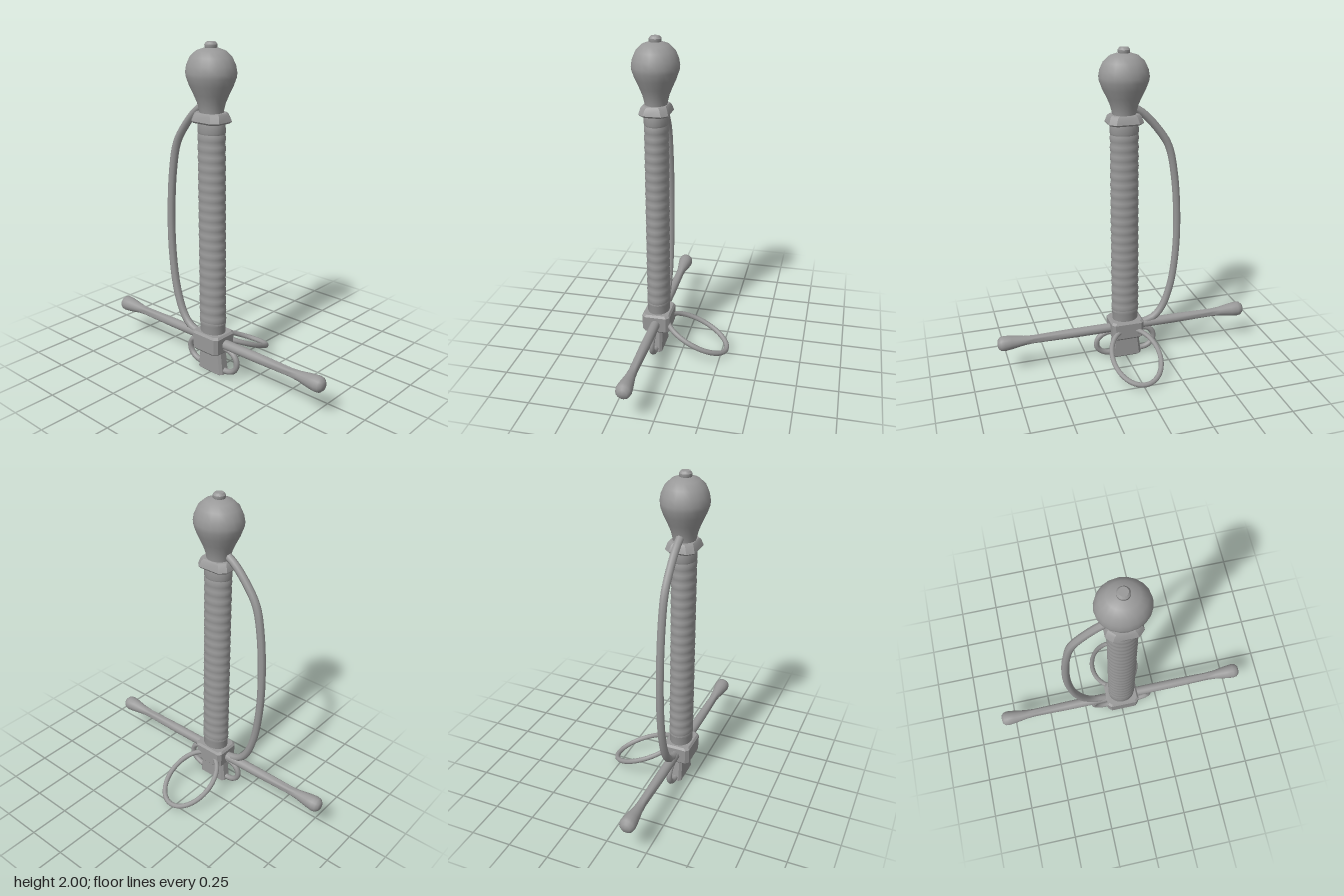
import * as THREE from 'three';
import { toCreasedNormals } from 'three/addons/utils/BufferGeometryUtils.js';

const steel = new THREE.MeshStandardMaterial({ color: 0x999999 });
steel.name = 'steel grey';

const V = (x, y, z = 0) => new THREE.Vector3(x, y, z);

function part(name, geometry, crease = 0.6) {
  const mesh = new THREE.Mesh(crease ? toCreasedNormals(geometry, crease) : geometry, steel);
  mesh.name = name;
  return mesh;
}

// Turned part with an oval section: depth is the z to x ratio
function turned(name, profile, depth = 1, segments = 24, crease = 0.6) {
  const geo = new THREE.LatheGeometry(profile.map(([r, y]) => new THREE.Vector2(r, y)), segments);
  geo.scale(1, 1, depth);
  return part(name, geo, crease);
}

// Block with chamfered corners, lofted through [y, halfWidth, halfDepth] sections
function loft(name, sections, chamfer) {
  const pos = [], index = [];
  for (const [y, w, d] of sections) {
    const c = Math.min(chamfer, d * 0.6);
    for (const [x, z] of [[w, d - c], [w, c - d], [w - c, -d], [c - w, -d],
      [-w, c - d], [-w, d - c], [c - w, d], [w - c, d]]) pos.push(x, y, z);
  }
  const last = (sections.length - 1) * 8;
  for (let s = 0; s < last; s += 8) {
    for (let i = 0; i < 8; i++) {
      const a = s + i, b = s + (i + 1) % 8;
      index.push(a, b, b + 8, a, b + 8, a + 8);
    }
  }
  for (let i = 1; i < 7; i++) index.push(0, i + 1, i, last, last + i, last + i + 1);
  const geo = new THREE.BufferGeometry();
  geo.setAttribute('position', new THREE.Float32BufferAttribute(pos, 3));
  geo.setIndex(index);
  return part(name, geo, 0.5);
}

// Closed oval ring from a function of the angle
function ring(name, at, radius) {
  const pts = Array.from({ length: 24 }, (_, i) => at(i / 24 * Math.PI * 2));
  return part(name, new THREE.TubeGeometry(new THREE.CatmullRomCurve3(pts, true), 48, radius, 8, true), 0);
}

export function createModel() {
  const model = new THREE.Group();
  model.name = 'swordHilt';
  const hilt = new THREE.Group();
  hilt.name = 'hilt';
  hilt.position.z = 0.157;
  model.add(hilt);

  // Blade stub and guard block
  hilt.add(loft('bladeStub', [[0, 0.085, 0.025], [0.012, 0.1, 0.038], [0.16, 0.083, 0.038]], 0.015));
  hilt.add(loft('guardBlock', [[0.152, 0.09, 0.076], [0.164, 0.101, 0.086],
    [0.262, 0.106, 0.088], [0.275, 0.095, 0.078]], 0.02));

  // Collars at both ends of the grip
  hilt.add(turned('lowerCollar', [[0.08, 0.27], [0.083, 0.28], [0.083, 0.325], [0.087, 0.335],
    [0.084, 0.35]], 0.84));
  hilt.add(turned('upperCollar', [[0.084, 1.495], [0.088, 1.505], [0.086, 1.555], [0.082, 1.575]], 0.82));

  // Grip with shallow wire-wrap ribs
  const ribs = [];
  const count = 20;
  for (let i = 0; i <= count * 4; i++) {
    const t = i / (count * 4);
    ribs.push([0.083 + 0.005 * Math.abs(Math.sin(t * count * Math.PI)), 0.335 + t * 1.165]);
  }
  hilt.add(turned('grip', ribs, 0.82));

  // Flared cap under the pommel
  hilt.add(loft('pommelCap', [[1.557, 0.098, 0.08], [1.567, 0.106, 0.088],
    [1.605, 0.094, 0.076], [1.615, 0.085, 0.068]], 0.035));

  // Pear-shaped pommel and its button
  hilt.add(turned('pommel', [[0.07, 1.605], [0.074, 1.63], [0.085, 1.67], [0.105, 1.715], [0.13, 1.765],
    [0.147, 1.81], [0.15, 1.835], [0.143, 1.875], [0.122, 1.92], [0.085, 1.953], [0.04, 1.968],
    [0, 1.97]], 0.915, 20));
  hilt.add(turned('pommelButton', [[0.03, 1.96], [0.036, 1.972], [0.036, 1.987], [0.026, 2], [0, 2]], 1, 16));

  // Mirrored cross-guard arms and the small finger rings below them
  for (const [side, s] of [['left', 1], ['right', -1]]) {
    const arm = turned(side + 'CrossguardArm', [[0.03, 0.05], [0.03, 0.35], [0.026, 0.6], [0.03, 0.66],
      [0.043, 0.74], [0.048, 0.785], [0.044, 0.808], [0.028, 0.824], [0, 0.828]], 1, 16, 0.8);
    arm.rotation.z = -s * Math.PI / 2;
    arm.position.y = 0.212;
    hilt.add(arm);
    hilt.add(ring(side + 'FingerRing',
      a => V(s * (0.105 + 0.088 * Math.cos(a)), 0.108 + 0.075 * Math.sin(a)), 0.018));
  }

  // Tilted oval ring behind the guard
  hilt.add(ring('thumbRing',
    a => V(0.151 * Math.cos(a), 0.124 + 0.09 * Math.sin(a), -0.25 + 0.19 * Math.sin(a)), 0.016));

  // Curved knuckle bow on the right side
  const bow = new THREE.CatmullRomCurve3([V(-0.05, 1.655), V(-0.12, 1.608), V(-0.21, 1.51), V(-0.28, 1.4),
    V(-0.32, 1.22), V(-0.343, 0.92), V(-0.337, 0.68), V(-0.305, 0.46), V(-0.25, 0.31), V(-0.19, 0.245),
    V(-0.09, 0.215)]);
  hilt.add(part('knuckleBow', new THREE.TubeGeometry(bow, 48, 0.024, 8), 0));

  return model;
}
